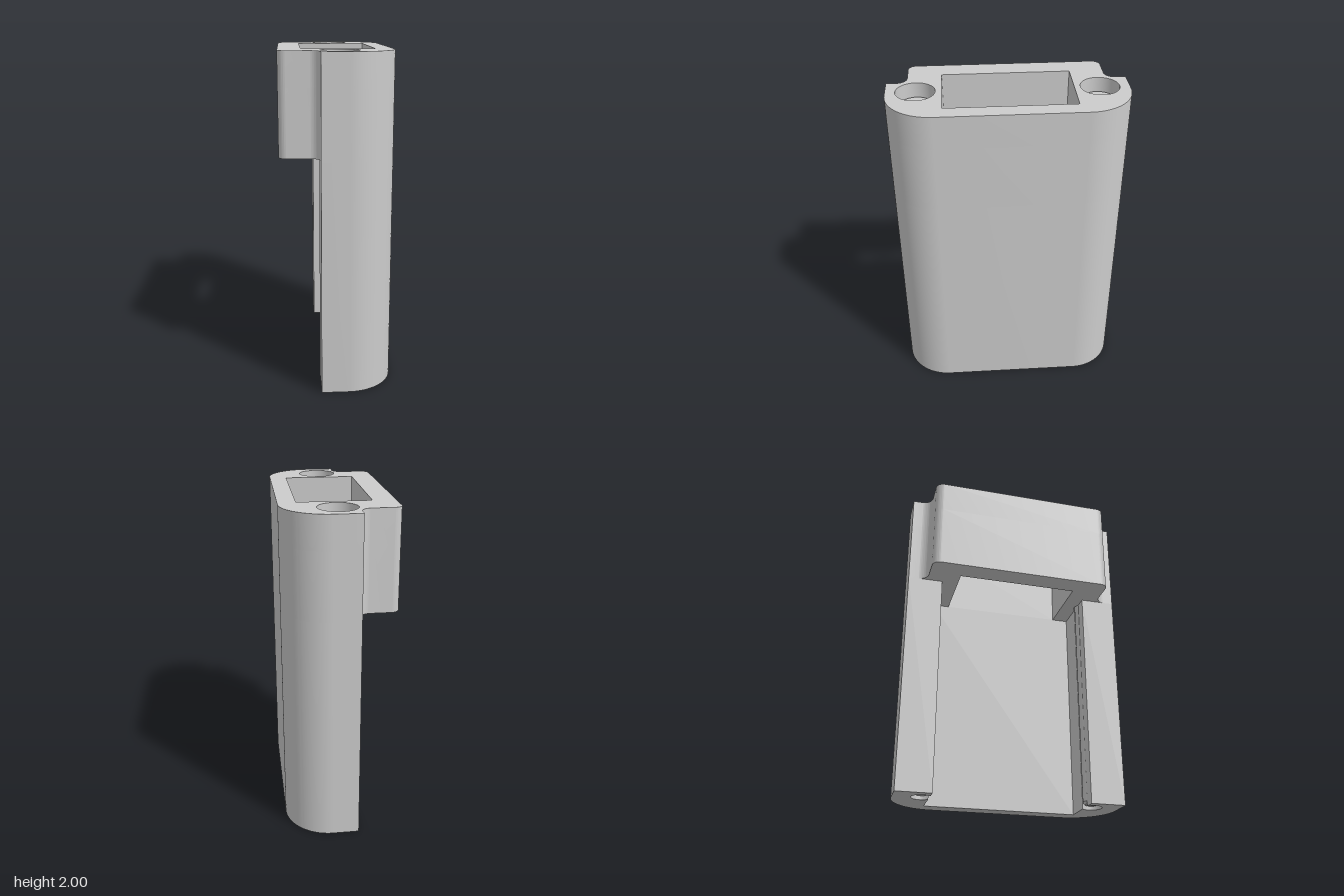
import * as THREE from 'three';
import { toCreasedNormals } from 'three/addons/utils/BufferGeometryUtils.js';

const OUT_U = 0.338, END_V = 0.705, R = 0.276;   // outer wall, ends, corner radius
const LIP_U = -0.098, WALL_U = 0.234;            // open edge of the channel, inner wall face
const POST_V = 0.485;                            // inner face of the end posts
const SCREW_U = 0.018, SCREW_V = 0.532, HOLE_R = 0.062, BORE_R = 0.115;

const material = new THREE.MeshStandardMaterial({ color: 0xcccccc });

function addMesh(group, name, geometry) {
  const mesh = new THREE.Mesh(geometry, material);
  mesh.name = name;
  group.add(mesh);
  return mesh;
}

// Extrudes a plan shape upward from y0 to y1.
function slab(shape, y0, y1) {
  const g = new THREE.ExtrudeGeometry(shape, { depth: y1 - y0, bevelEnabled: false, curveSegments: 20 });
  g.rotateX(-Math.PI / 2);
  g.translate(0, y0, 0);
  return toCreasedNormals(g, 0.6);
}

// Big rounded side shared by the channel and the collar.
function roundedSide(s) {
  s.lineTo(OUT_U - R, -END_V);
  s.absarc(OUT_U - R, -END_V + R, R, -Math.PI / 2, 0, false);
  s.absarc(OUT_U - R, END_V - R, R, 0, Math.PI / 2, false);
  s.lineTo(LIP_U, END_V);
}

// C-shaped channel; each screw hole breaks through its post as a narrow slit.
function channelShape() {
  const s = new THREE.Shape();
  s.moveTo(LIP_U, -END_V);
  roundedSide(s);
  const a = Math.acos((SCREW_V - POST_V) / HOLE_R);
  const half = HOLE_R * Math.sin(a);
  s.lineTo(LIP_U, POST_V);
  s.lineTo(SCREW_U - half, POST_V);
  s.absarc(SCREW_U, SCREW_V, HOLE_R, -Math.PI / 2 - a, -Math.PI / 2 + a, true);
  s.lineTo(WALL_U, POST_V);
  s.lineTo(WALL_U, -POST_V);
  s.lineTo(SCREW_U + half, -POST_V);
  s.absarc(SCREW_U, -SCREW_V, HOLE_R, Math.PI / 2 - a, Math.PI / 2 + a, true);
  s.lineTo(LIP_U, -POST_V);
  return s;
}

// Closed collar with a rectangular window and two round holes.
function collarShape(holeR) {
  const left = -0.333, v = 0.583, r = 0.05, f = 0.062;
  const s = new THREE.Shape();
  s.moveTo(LIP_U, -END_V);
  roundedSide(s);
  s.absarc(LIP_U - f, v + f, f, 0, -Math.PI / 2, true);
  s.absarc(left + r, v - r, r, Math.PI / 2, Math.PI, false);
  s.absarc(left + r, -v + r, r, Math.PI, Math.PI * 1.5, false);
  s.absarc(LIP_U - f, -v - f, f, Math.PI / 2, 0, true);

  const win = new THREE.Path();
  win.moveTo(-0.197, -0.382);
  win.lineTo(-0.197, 0.382);
  win.lineTo(WALL_U, 0.382);
  win.lineTo(WALL_U, -0.382);
  s.holes.push(win);
  for (const side of [-1, 1]) {
    s.holes.push(new THREE.Path().absarc(SCREW_U, side * SCREW_V, holeR, 0, Math.PI * 2, true));
  }
  return s;
}

// Rounded screw head with a hexagonal socket.
function screwHead() {
  const bevel = 0.02;
  const s = new THREE.Shape().absarc(0, 0, 0.108 - bevel, 0, Math.PI * 2, false);
  const hex = new THREE.Path();
  for (let i = 0; i < 6; i++) {
    const a = -i * Math.PI / 3;
    hex[i ? 'lineTo' : 'moveTo'](0.062 * Math.cos(a), 0.062 * Math.sin(a));
  }
  s.holes.push(hex);
  const g = new THREE.ExtrudeGeometry(s, {
    depth: 0.08, bevelSize: bevel, bevelThickness: bevel, bevelSegments: 4, curveSegments: 32,
  });
  g.rotateX(-Math.PI / 2);
  return toCreasedNormals(g, 0.6);
}

// Shank with a small dimple in its lower end.
function screwShank() {
  const pts = [[0, 0.06], [0.03, 0.06], [0.03, 0.02], [0.045, 0.02], [0.056, 0.035], [0.056, 1.84], [0, 1.84]];
  const g = new THREE.LatheGeometry(pts.map(p => new THREE.Vector2(...p)), 28);
  return toCreasedNormals(g, 0.5);
}

export function createModel() {
  const model = new THREE.Group();
  model.name = 'clampHousing';

  // The whole housing sits slightly turned about the vertical axis.
  const body = new THREE.Group();
  body.name = 'housing';
  body.rotation.y = THREE.MathUtils.degToRad(5);
  body.position.z = -0.003;
  model.add(body);

  addMesh(body, 'channel', slab(channelShape(), 0, 1.4));
  addMesh(body, 'collar', slab(collarShape(HOLE_R), 1.4, 1.8));
  addMesh(body, 'counterboredRim', slab(collarShape(BORE_R), 1.8, 2));

  // Two screws, one through each end post
  for (const side of [-1, 1]) {
    const screw = new THREE.Group();
    screw.name = side < 0 ? 'backScrew' : 'frontScrew';
    screw.position.set(SCREW_U, 0, side * SCREW_V);
    addMesh(screw, 'screwShank', screwShank());
    addMesh(screw, 'screwHead', screwHead()).position.y = 1.82;
    body.add(screw);
  }
  return model;
}
